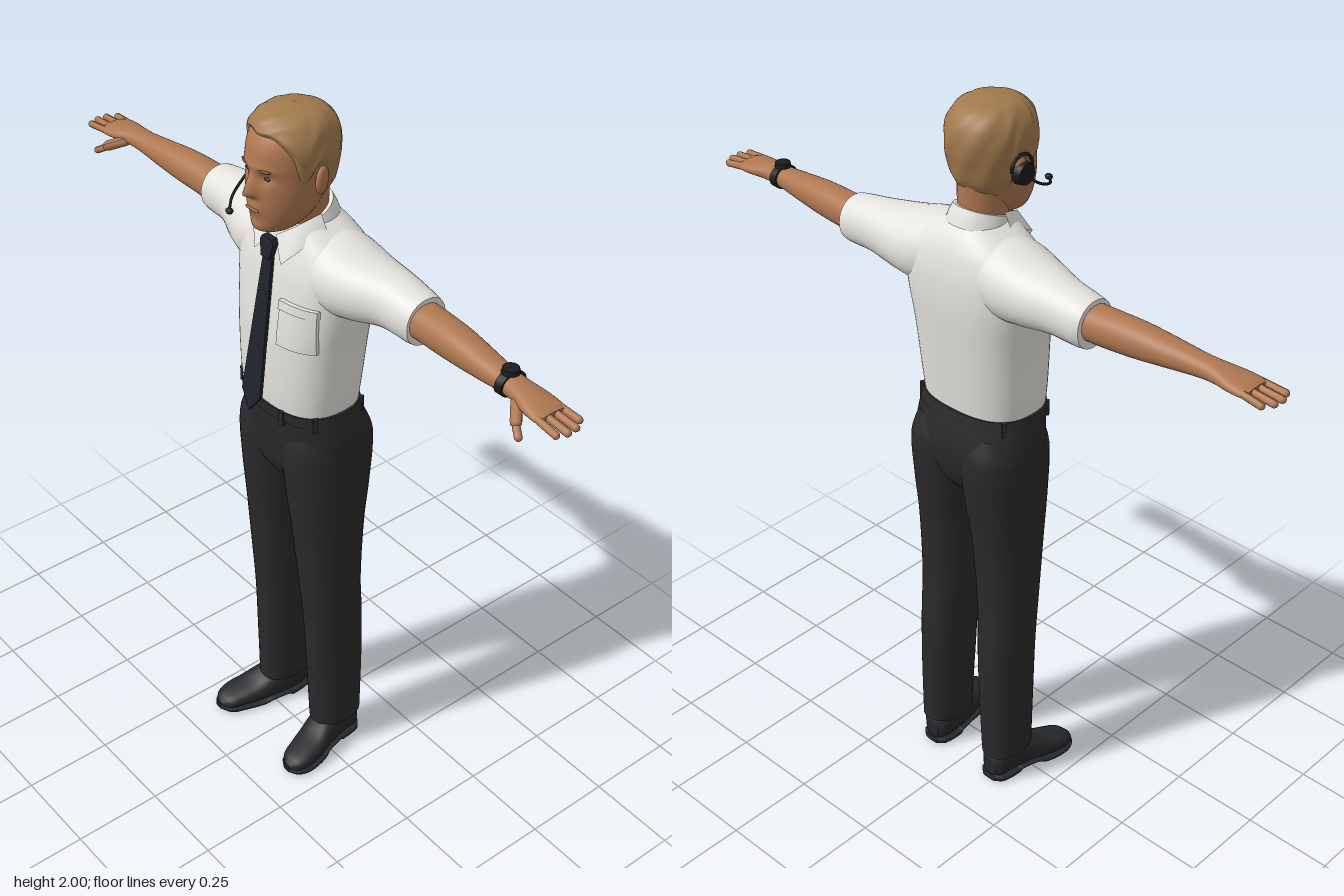
import * as THREE from 'three';

const mat = (name, color) => Object.assign(new THREE.MeshStandardMaterial({ color }), { name });
const bump = (v, c, r) => Math.exp(-(((v - c) / r) ** 2));
const spow = (v, p) => Math.sign(v) * Math.abs(v) ** p;

// Smooth interpolation of key rows; the first column is the position
function at(keys, s) {
  let i = 0;
  while (i < keys.length - 2 && s > keys[i + 1][0]) i++;
  const a = keys[i], b = keys[i + 1], h = b[0] - a[0], t = (s - a[0]) / h;
  const slope = (k, c) => {
    const p = keys[Math.max(k - 1, 0)], q = keys[Math.min(k + 1, keys.length - 1)];
    return (q[c] - p[c]) / (q[0] - p[0]);
  };
  return a.map((v, c) => c === 0 ? s :
    (1 + 2 * t) * (1 - t) ** 2 * v + t * (1 - t) ** 2 * h * slope(i, c) +
    t * t * (3 - 2 * t) * b[c] + t * t * (t - 1) * h * slope(i + 1, c));
}

// Closed skin over rings of points, optionally with flat end caps
function skin(rings, flip, caps) {
  const n = rings[0].length, pos = [], idx = [];
  const tri = (a, b, c) => flip ? idx.push(a, c, b) : idx.push(a, b, c);
  rings.forEach(r => r.forEach(p => pos.push(...p)));
  for (let i = 0; i < rings.length - 1; i++) for (let j = 0; j < n; j++) {
    const k = (j + 1) % n, a = i * n, b = a + n;
    tri(a + j, a + k, b + k);
    tri(a + j, b + k, b + j);
  }
  if (caps) [rings[0], rings[rings.length - 1]].forEach((r, e) => {
    const o = pos.length / 3;
    r.forEach(p => pos.push(...p));
    pos.push(...[0, 1, 2].map(c => r.reduce((s, p) => s + p[c], 0) / n));
    for (let j = 0; j < n; j++) {
      const k = (j + 1) % n;
      e ? tri(o + n, o + j, o + k) : tri(o + n, o + k, o + j);
    }
  });
  const g = new THREE.BufferGeometry();
  g.setAttribute('position', new THREE.Float32BufferAttribute(pos, 3));
  g.setIndex(idx);
  g.computeVertexNormals();
  return g;
}

const ringPoint = ([, u0, u1, v0, v1], a, p) => [
  (u0 + u1) / 2 + (u1 - u0) / 2 * spow(Math.sin(a), p),
  (v0 + v1) / 2 + (v1 - v0) / 2 * spow(Math.cos(a), p)];

// Loft of key rows [position, uMin, uMax, vMin, vMax] along x (u=y, v=z), y (u=x, v=z) or z (u=x, v=y)
function loft(axis, keys, { p = 1, seg = 36, n = 5, warp = q => q } = {}) {
  const stations = [keys[0][0]];
  for (let i = 1; i < keys.length; i++) for (let k = 1; k <= n; k++)
    stations.push(keys[i - 1][0] + (keys[i][0] - keys[i - 1][0]) * k / n);
  const rings = stations.map(s => Array.from({ length: seg }, (_, j) => {
    const [u, v] = ringPoint(at(keys, s), j / seg * Math.PI * 2, p);
    return warp(axis === 'x' ? [s, u, v] : axis === 'y' ? [u, s, v] : [u, v, s]);
  }));
  return skin(rings, axis !== 'y', true);
}

function mirror(geo) {
  const g = geo.clone().scale(-1, 1, 1), ix = g.index.array;
  for (let i = 0; i < ix.length; i += 3) [ix[i + 1], ix[i + 2]] = [ix[i + 2], ix[i + 1]];
  g.computeVertexNormals();
  return g;
}

// Rounded finger between two points
function finger(a, b, r) {
  const A = new THREE.Vector3(...a), B = new THREE.Vector3(...b), d = B.clone().sub(A);
  const g = new THREE.CapsuleGeometry(r, d.length(), 5, 10);
  g.applyQuaternion(new THREE.Quaternion().setFromUnitVectors(new THREE.Vector3(0, 1, 0), d.normalize()));
  return g.translate(...A.add(B).multiplyScalar(0.5).toArray());
}

const sym = rows => rows.map(([y, w, z0, z1]) => [y, -w, w, z0, z1]);
const HEAD = sym([[1.695, .03, .03, .1], [1.705, .048, -.01, .113], [1.74, .072, -.05, .121], [1.78, .085, -.075, .126],
  [1.81, .09, -.088, .127], [1.85, .094, -.098, .125], [1.88, .096, -.104, .126], [1.92, .095, -.104, .119],
  [1.955, .083, -.088, .098], [1.98, .052, -.052, .062], [1.992, .001, 0, .002]]);
const TORSO = sym([[1.17, .16, -.135, .097], [1.25, .168, -.143, .102], [1.4, .18, -.157, .1], [1.5, .194, -.165, .088],
  [1.57, .2, -.164, .077], [1.61, .192, -.158, .067], [1.645, .165, -.148, .055], [1.675, .12, -.132, .045], [1.7, .075, -.112, .037]]);
const HAIRLINE = [[0, 1.945], [.15, 1.945], [.25, 1.93], [.33, 1.9], [.39, 1.845], [.44, 1.835], [.5, 1.87],
  [.56, 1.865], [.63, 1.79], [.78, 1.765], [1, 1.757]];

const frontZ = (keys, x, y, p) => {
  const [, , w, z0, z1] = at(keys, y), s = (Math.abs(x) / w) ** (1 / p);
  return (z0 + z1) / 2 + (z1 - z0) / 2 * Math.sqrt(Math.max(0, 1 - s * s)) ** p;
};

export function createModel() {
  const model = new THREE.Group();
  const skinMat = mat('skin', 0xae7750), hairMat = mat('hair', 0xa17a4d), shirt = mat('shirtWhite', 0xe5e3de);
  const trousers = mat('trouserCharcoal', 0x2a2a2c), tieMat = mat('tieNavy', 0x1f242a), shoeMat = mat('shoeLeather', 0x26282b);
  const gear = mat('gearBlack', 0x1b1b1d), lips = mat('lips', 0x955d45), brow = mat('browBrown', 0x6f4c31), eye = mat('eyeDark', 0x3b302a);
  shirt.side = THREE.DoubleSide;
  const add = (name, geo, m) => {
    const mesh = new THREE.Mesh(geo, m);
    mesh.name = name;
    model.add(mesh);
    return mesh;
  };
  const pair = (name, geo, m) => { add(name + 'Left', geo, m); add(name + 'Right', mirror(geo), m); };

  // Head with nose, eye sockets, brow ridge and mouth
  add('head', loft('y', HEAD, { seg: 80, n: 6, warp: ([x, y, z]) => {
    if (z > .04) {
      const ramp = y > 1.808 ? Math.max(0, 1 - (y - 1.808) / .06) : Math.max(0, 1 - (1.808 - y) / .018);
      z += .029 * ramp * bump(x, 0, .015) - .009 * bump(Math.abs(x), .036, .018) * bump(y, 1.85, .013);
      z += .004 * bump(y, 1.875, .01) * bump(x, 0, .06) + .005 * bump(y, 1.765, .014) * bump(x, 0, .03);
      z += .006 * bump(y, 1.712, .014) * bump(x, 0, .03);
    }
    return [x, y, z];
  } }), skinMat);
  add('neck', loft('y', sym([[1.62, .062, -.09, .03], [1.7, .06, -.09, .038], [1.8, .066, -.09, .065]])), skinMat);
  pair('ear', new THREE.SphereGeometry(1, 16, 12).scale(.011, .036, .022).rotateX(-.15).rotateY(.25).translate(.1, 1.838, -.002), skinMat);
  pair('eye', new THREE.SphereGeometry(1, 12, 8).scale(.012, .0045, .004).translate(.035, 1.851, frontZ(HEAD, .035, 1.851, 1) - .007), eye);
  pair('eyebrow', new THREE.SphereGeometry(1, 12, 8).scale(.019, .004, .005).rotateY(.35).translate(.036, 1.873, frontZ(HEAD, .036, 1.873, 1) + .001), brow);
  add('mouth', new THREE.SphereGeometry(1, 16, 8).scale(.025, .005, .006).translate(0, 1.763, frontZ(HEAD, 0, 1.763, 1) + .003), lips);

  // Hair shell following the skull down to the hairline, with soft combed waves
  const hairRings = [], rows = 30, cols = 72;
  for (let i = 0; i <= rows; i++) {
    const t = 1 - i / rows;
    hairRings.push(Array.from({ length: cols }, (_, j) => {
      const a = j / cols * Math.PI * 2, around = Math.min(a, 2 * Math.PI - a) / Math.PI;
      const y = 1.992 - (1.992 - at(HAIRLINE, around)[1]) * t ** 1.6, [x, z] = ringPoint(at(HEAD, y), a, 1);
      const off = (.012 + .0015 * Math.sin(9 * a + 14 * t)) * Math.min(1, (1 - t) * 8) - .001;
      const out = off * Math.min(1, t * 5), up = .008 * Math.max(0, Math.min(1, (y - 1.91) / .07));
      return [x + out * Math.sin(a), y + up, z + out * Math.cos(a)];
    }));
  }
  add('hair', skin(hairRings, false, false), hairMat);

  // Headset on the right ear
  add('headsetCup', new THREE.CylinderGeometry(.027, .031, .022, 24).rotateZ(Math.PI / 2).translate(-.107, 1.832, .002), gear);
  add('headsetEarHook', new THREE.TorusGeometry(.036, .004, 8, 24, Math.PI * 1.1).rotateY(Math.PI / 2).translate(-.106, 1.845, -.004), gear);
  const boom = new THREE.CatmullRomCurve3([[-.112, 1.82, .01], [-.108, 1.785, .06], [-.085, 1.758, .12], [-.048, 1.748, .158]].map(p => new THREE.Vector3(...p)));
  add('headsetBoom', new THREE.TubeGeometry(boom, 20, .0035, 8), gear);
  add('headsetMicrophone', new THREE.SphereGeometry(1, 12, 8).scale(.011, .008, .009).translate(-.045, 1.748, .16), gear);

  // Shirt body, sleeves and collar
  add('shirtBody', loft('y', TORSO, { p: .78, seg: 56 }), shirt);
  pair('sleeve', loft('x', [[.06, 1.5, 1.69, -.145, .042], [.14, 1.485, 1.677, -.157, .056], [.21, 1.493, 1.661, -.153, .04],
    [.3, 1.51, 1.65, -.143, .004], [.38, 1.508, 1.638, -.136, -.008], [.4, 1.51, 1.634, -.132, -.012]], { p: .95 }), shirt);
  add('collarBand', loft('y', sym([[1.672, .084, -.12, .04], [1.7, .076, -.11, .042], [1.722, .068, -.1, .042]]),
    { warp: ([x, y, z]) => [x, y - .35 * (z + .04), z] }), shirt);
  const flap = new THREE.PlaneGeometry(1, 1, 2, 1);
  [[.008, 1.672, .064], [.05, 1.703, .042], [.071, 1.727, -.025], [.05, 1.615, .083], [.082, 1.652, .062], [.091, 1.69, -.025]]
    .forEach((p, i) => flap.attributes.position.setXYZ(i, ...p));
  flap.computeVertexNormals();
  pair('collarPoint', flap, shirt);

  // Chest pocket hugging the shirt front
  const patch = (w, h, d, x, y) => {
    const g = new THREE.BoxGeometry(w, h, d, 8, 8, 1).translate(x, y, 0), q = g.attributes.position;
    for (let i = 0; i < q.count; i++) q.setZ(i, q.getZ(i) + frontZ(TORSO, q.getX(i), q.getY(i), .78) + .002);
    g.computeVertexNormals();
    return g;
  };
  add('chestPocket', patch(.1, .115, .012, .108, 1.457), shirt);
  add('pocketFlap', patch(.104, .024, .018, .108, 1.512), shirt);

  // Tie hanging slightly away from the shirt
  const hang = g => {
    const q = g.attributes.position;
    for (let i = 0; i < q.count; i++) q.setZ(i, q.getZ(i) + .138 - (q.getY(i) - 1.19) * .148);
    g.computeVertexNormals();
    return g;
  };
  const plate = (pts, depth) => hang(new THREE.ExtrudeGeometry(new THREE.Shape(pts.map(p => new THREE.Vector2(...p))), { depth, bevelEnabled: false }));
  add('tieBlade', plate([[-.016, 1.63], [-.036, 1.235], [0, 1.188], [.036, 1.235], [.016, 1.63]], .009), tieMat);
  add('tieKnot', plate([[-.015, 1.615], [.015, 1.615], [.025, 1.655], [.018, 1.668], [-.018, 1.668], [-.025, 1.655]], .017), tieMat);

  // Arms, hands and fingers
  pair('arm', loft('x', [[.36, 1.53, 1.62, -.12, -.02], [.44, 1.53, 1.622, -.116, -.02], [.53, 1.534, 1.621, -.108, -.018], [.62, 1.543, 1.612, -.096, -.018],
    [.7, 1.551, 1.604, -.085, -.02], [.75, 1.555, 1.6, -.086, -.014], [.79, 1.555, 1.594, -.092, -.003],
    [.83, 1.556, 1.587, -.092, .001], [.845, 1.56, 1.582, -.086, -.004]], { p: .95 }), skinMat);
  [[-.08, .885], [-.057, .901], [-.033, .903], [-.01, .893]].forEach(([z, x], i) =>
    pair('finger' + (i + 1), finger([.82, 1.573, z], [x, 1.566, z + (i - 1.5) * .003], .0095), skinMat));
  pair('thumbBase', finger([.755, 1.568, -.022], [.79, 1.55, .012], .014), skinMat);
  pair('thumbTip', finger([.785, 1.551, .01], [.817, 1.531, .029], .0095), skinMat);

  // Wristwatch on the left wrist
  add('watchBand', loft('x', [[.69, 1.545, 1.61, -.092, -.013], [.712, 1.546, 1.609, -.092, -.013]], { n: 1 }), gear);
  add('watchFace', new THREE.CylinderGeometry(.02, .022, .012, 24).translate(.701, 1.612, -.052), gear);

  // Trousers
  add('trouserHips', loft('y', sym([[.94, .09, -.11, .05], [.99, .165, -.145, .078], [1.08, .183, -.162, .09],
    [1.14, .178, -.154, .095], [1.195, .168, -.139, .101]]), { p: .85, seg: 48 }), trousers);
  pair('trouserLeg', loft('y', [[.09, .06, .172, -.132, .022], [.3, .049, .173, -.136, .03], [.45, .041, .174, -.134, .036], [.6, .031, .176, -.127, .048],
    [.8, .015, .18, -.136, .066], [.93, .001, .183, -.153, .08], [1.07, -.004, .18, -.164, .088], [1.14, .01, .16, -.14, .07]], { p: .88 }), trousers);
  add('waistband', loft('y', sym([[1.165, .175, -.15, .101], [1.197, .17, -.143, .104]]), { p: .85, seg: 48, n: 1 }), trousers);
  [.35, 1, 2.2].forEach(a => {
    const [x, z] = ringPoint(at(sym([[1.1, .173, -.147, .103], [1.2, .173, -.147, .103]]), 1.15), a, .85);
    pair('beltLoop', new THREE.BoxGeometry(.012, .042, .01).rotateY(a).translate(x, 1.178, z), trousers);
  });

  // Shoes with heel and sole
  pair('shoe', loft('z', [[-.123, .092, .135, .02, .075], [-.108, .076, .153, .01, .1], [-.06, .069, .163, .01, .11], [0, .077, .176, .01, .1],
    [.05, .09, .192, .01, .072], [.1, .107, .2, .01, .057], [.135, .122, .192, .01, .045], [.152, .145, .172, .012, .03]], { p: .8 }), shoeMat);
  pair('shoeSole', loft('z', [[-.125, .09, .138, 0, .02], [-.108, .073, .157, 0, .02], [-.05, .067, .166, 0, .02], [-.04, .068, .168, .01, .022], [.01, .077, .181, .01, .02],
    [.04, .085, .193, 0, .016], [.1, .104, .204, 0, .016], [.138, .12, .194, .002, .018], [.156, .147, .172, .008, .02]], { p: .55 }), shoeMat);
  return model;
}
